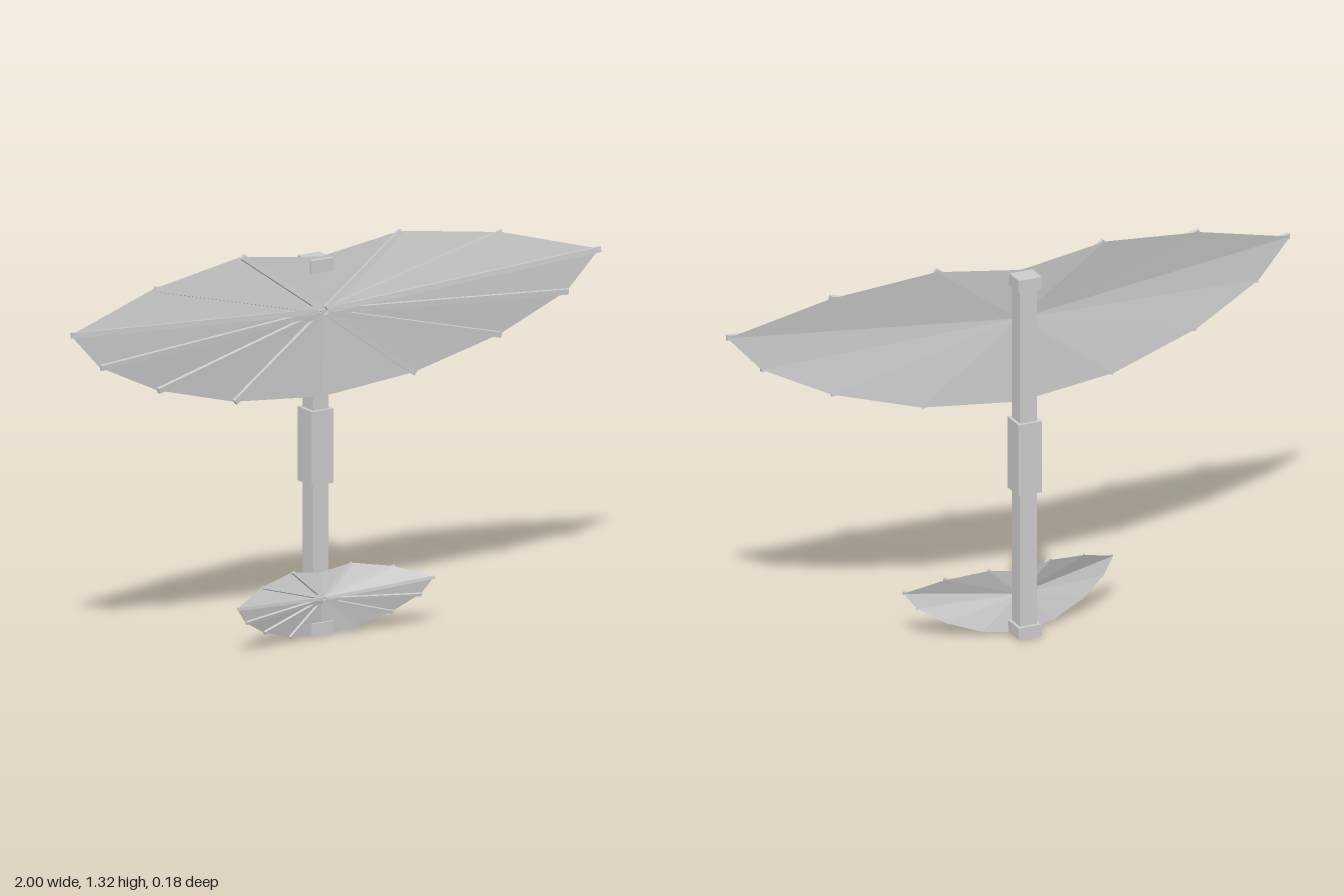
import * as THREE from 'three';

export function createModel() {
  const model = new THREE.Group();
  model.name = 'twinSailMast';
  const grey = new THREE.MeshStandardMaterial({ color: 0xcccccc, side: THREE.DoubleSide, flatShading: true });
  grey.name = 'lightGrey';

  // Faceted fan; half = rim points from top centre to bottom centre on the +x side
  function sail(name, hub, half, ribWidth, ribDepth) {
    const group = new THREE.Group();
    group.name = name;
    const centre = new THREE.Vector3(...hub);
    const right = half.map(p => new THREE.Vector3(...p));
    const left = right.slice(1, -1).reverse().map(p => new THREE.Vector3(-p.x, p.y, p.z));
    const rim = [...right, ...left];
    const verts = [];
    const normals = rim.map((p, i) => {
      const q = rim[(i + 1) % rim.length];
      for (const v of [centre, q, p]) verts.push(v.x, v.y, v.z);
      return q.clone().sub(centre).cross(p.clone().sub(centre)).normalize();
    });
    const geo = new THREE.BufferGeometry();
    geo.setAttribute('position', new THREE.Float32BufferAttribute(verts, 3));
    geo.computeVertexNormals();
    const cloth = new THREE.Mesh(geo, grey);
    cloth.name = name + 'Panels';
    group.add(cloth);

    // Ribs lie on the front of every fold except the two on the centre line
    rim.forEach((tip, i) => {
      if (tip.x === 0) return;
      const along = tip.clone().sub(centre);
      const length = along.length();
      along.normalize();
      const out = normals[i].clone().add(normals[(i + rim.length - 1) % rim.length]).normalize();
      const across = out.clone().cross(along);
      const rib = new THREE.Mesh(new THREE.BoxGeometry(length * 0.97, ribWidth, ribDepth), grey);
      rib.name = name + 'Rib';
      rib.quaternion.setFromRotationMatrix(new THREE.Matrix4().makeBasis(along, across, out));
      rib.position.copy(centre).addScaledVector(along, length * 0.515).addScaledVector(out, ribDepth / 2 + 0.001);
      group.add(rib);
    });
    model.add(group);
  }

  sail('upperSail', [0, 1.087, -0.002], [
    [0, 1.262, -0.02], [0.3, 1.306, -0.016], [0.656, 1.26, 0.025], [0.998, 1.166, 0.072],
    [0.882, 1.04, 0.062], [0.647, 0.923, 0.032], [0.341, 0.834, 0.004], [0, 0.799, -0.008],
  ], 0.018, 0.012);
  sail('lowerSail', [0, 0.128, -0.002], [
    [0, 0.212, -0.015], [0.112, 0.229, -0.01], [0.25, 0.207, 0.028], [0.372, 0.164, 0.076],
    [0.331, 0.11, 0.06], [0.243, 0.057, 0.028], [0.127, 0.017, -0.002], [0, 0, -0.02],
  ], 0.01, 0.009);

  // Mast, sleeve and end caps
  function block(name, width, y0, y1, z0, z1) {
    const mesh = new THREE.Mesh(new THREE.BoxGeometry(width, y1 - y0, z1 - z0), grey);
    mesh.name = name;
    mesh.position.set(0, (y0 + y1) / 2, (z0 + z1) / 2);
    model.add(mesh);
  }
  block('mast', 0.06, 0.02, 1.25, -0.078, -0.015);
  block('sleeve', 0.082, 0.507, 0.754, -0.09, -0.004);
  block('topCap', 0.082, 1.215, 1.257, -0.09, -0.004);
  block('bottomCap', 0.082, 0.007, 0.047, -0.09, -0.004);

  return model;
}
